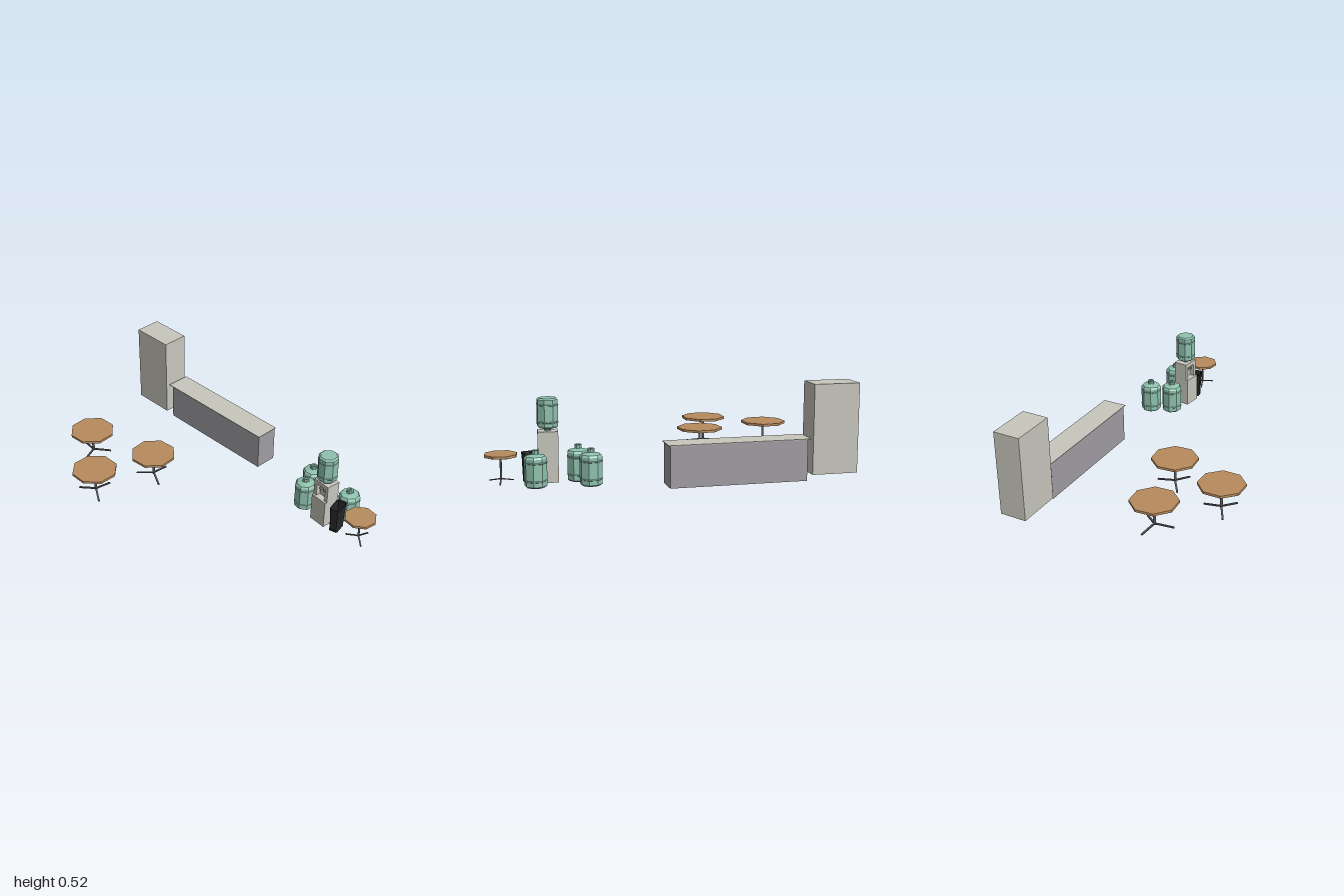
import * as THREE from 'three';

const mat = (name, color) => {
  const m = new THREE.MeshStandardMaterial({ color });
  m.name = name;
  return m;
};

export function createModel() {
  const root = new THREE.Group();
  root.name = 'breakRoom';
  const wood = mat('wood', 0xb88c5e);
  const metal = mat('dark metal', 0x5c5c60);
  const beige = mat('pale beige', 0xc8c7bd);
  const grey = mat('counter grey', 0xa09ea3);
  const teal = mat('bottle green', 0x8fc2af);
  const black = mat('bin black', 0x262626);
  const rad = THREE.MathUtils.degToRad;

  const add = (parent, name, geo, material, x = 0, y = 0, z = 0) => {
    const m = new THREE.Mesh(geo, material);
    m.name = name;
    m.position.set(x, y, z);
    parent.add(m);
    return m;
  };
  const group = (name, x, z, deg = 0) => {
    const g = new THREE.Group();
    g.name = name;
    g.position.set(x, 0, z);
    g.rotation.y = rad(deg);
    root.add(g);
    return g;
  };
  // box given by its min and max corners
  const block = (parent, name, material, x0, x1, y0, y1, z0, z1) =>
    add(parent, name, new THREE.BoxGeometry(x1 - x0, y1 - y0, z1 - z0), material,
      (x0 + x1) / 2, (y0 + y1) / 2, (z0 + z1) / 2);
  const facet = (geo) => {
    const g = geo.toNonIndexed();
    g.computeVertexNormals();
    return g;
  };
  // eight-sided turned shape with flat sides along the axes
  const turned = (profile) => new THREE.LatheGeometry(
    profile.map(([r, y]) => new THREE.Vector2(r, y)), 8, Math.PI / 8);

  // Tables: octagonal top, post and three sloping feet
  const table = (x, z, deg, radius, top, foot, s) => {
    const g = group('table', x, z, deg);
    const slab = 0.014;
    add(g, 'tableTop', facet(new THREE.CylinderGeometry(radius, radius, slab, 8, 1, false, Math.PI / 8)),
      wood, 0, top - slab / 2, 0);
    const h = top - slab - 0.042;
    add(g, 'post', new THREE.CylinderGeometry(0.0075 * s, 0.0075 * s, h, 8), metal, 0, 0.042 + h / 2, 0);
    for (let i = 0; i < 3; i++) {
      const arm = new THREE.Group();
      arm.name = 'foot';
      arm.rotation.y = i * Math.PI * 2 / 3;
      g.add(arm);
      const bar = add(arm, 'footBar', new THREE.BoxGeometry(foot, 0.007 * s, 0.010 * s), metal, foot / 2, 0.041, 0);
      bar.rotation.z = -0.016 / foot;
    }
  };
  table(-0.215, -0.725, 319, 0.132, 0.192, 0.105, 1);
  table(-0.449, -0.413, 0, 0.132, 0.192, 0.105, 1);
  table(-0.104, -0.294, 5, 0.132, 0.192, 0.105, 1);
  table(0.338, 0.912, -9, 0.09, 0.183, 0.074, 0.75);

  // Water bottles: ribbed body, shoulder and hollow neck
  const bottleGeo = facet(turned([
    [0, 0], [0.05, 0], [0.06, 0.008], [0.06, 0.032], [0.063, 0.034], [0.063, 0.039], [0.061, 0.041],
    [0.061, 0.128], [0.063, 0.13], [0.063, 0.135], [0.061, 0.137], [0.061, 0.154], [0.053, 0.165],
    [0.022, 0.173], [0.019, 0.176], [0.019, 0.195], [0.010, 0.195], [0.010, 0.188], [0, 0.188],
  ]));
  [[0.348, 0.503, -10], [0.469, 0.455, 3], [0.448, 0.743, 6]].forEach(([x, z, deg]) => {
    add(group('waterBottle', x, z, deg), 'bottle', bottleGeo, teal, 0, 0.021, 0);
  });

  // Water dispenser, its working face towards -x, with an upturned bottle
  const d = group('waterDispenser', 0.336, 0.662, -6);
  block(d, 'lowerCabinet', beige, -0.054, 0.042, 0.021, 0.19, -0.054, 0.054);
  block(d, 'upperBack', beige, -0.015, 0.042, 0.19, 0.295, -0.054, 0.054);
  block(d, 'upperHead', beige, -0.042, -0.015, 0.268, 0.295, -0.054, 0.054);
  for (const s of [-1, 1]) {
    block(d, 'recessSide', beige, -0.042, -0.015, 0.19, 0.268, s * 0.043 - 0.011, s * 0.043 + 0.011);
    block(d, 'tap', beige, -0.034, -0.015, 0.24, 0.252, s * 0.014 - 0.005, s * 0.014 + 0.005);
  }
  const upturned = add(d, 'upturnedBottle', bottleGeo, teal, -0.003, 0.47, 0);
  upturned.rotation.set(Math.PI, rad(-6), 0);
  upturned.scale.setScalar(0.955);

  // Waste bin: octagon squared off into a tapered box with cut corners
  const binGeo = turned([
    [0, 0], [0.85, 0], [0.86, 0.012], [0.83, 0.014], [0.95, 0.146], [1, 0.148], [1, 0.158], [0.92, 0.158],
    [0.8, 0.014], [0, 0.014],
  ]);
  const p = binGeo.attributes.position;
  const square = (v, r) => Math.sign(v) * Math.pow(Math.abs(v) / (r * 0.924), 0.25) * r;
  for (let i = 0; i < p.count; i++) {
    const x = p.getX(i), z = p.getZ(i), r = Math.hypot(x, z);
    if (r > 1e-6) p.setXYZ(i, square(x, r) * 0.05, p.getY(i), square(z, r) * 0.03);
  }
  add(group('wasteBin', 0.328, 0.762, 12.5), 'bin', facet(binGeo), black, 0, 0.02, 0);

  // Counter with a thin overhanging worktop, and the tall cabinet
  const c = group('counter', 0, 0);
  block(c, 'counterBody', grey, 0.431, 0.567, 0, 0.226, -0.71, 0.053);
  block(c, 'worktop', beige, 0.423, 0.567, 0.226, 0.23, -0.73, 0.061);
  block(root, 'tallCabinet', beige, 0.408, 0.565, 0.03, 0.525, -1, -0.742);
  return root;
}
